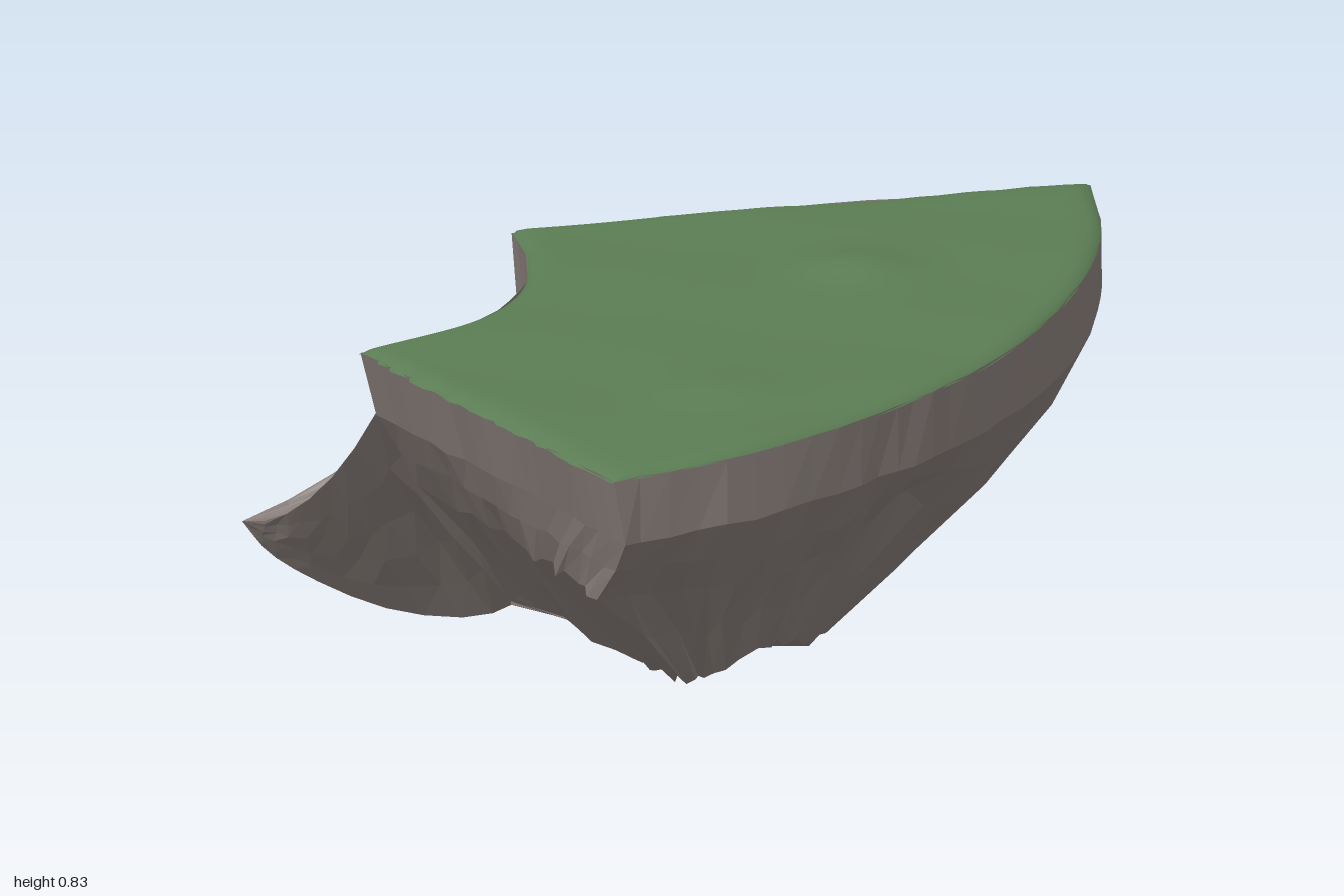
import * as THREE from 'three';
import { mergeVertices } from 'three/addons/utils/BufferGeometryUtils.js';

const V = (x, y, z) => new THREE.Vector3(x, y, z);

// Small repeatable noise in -1..1
const noise = (a, b) => {
  const s = Math.sin(a * 127.1 + b * 311.7) * 43758.5453;
  return (s - Math.floor(s)) * 2 - 1;
};

// Skin over rows of points; each quad becomes two triangles
function skin(rows) {
  const pos = [];
  for (let j = 0; j < rows.length - 1; j++) {
    for (let i = 0; i < rows[j].length - 1; i++) {
      const a = rows[j][i], b = rows[j][i + 1], c = rows[j + 1][i], d = rows[j + 1][i + 1];
      for (const [p, q, r] of [[a, c, b], [b, c, d]]) {
        if (p.distanceTo(q) < 1e-5 || q.distanceTo(r) < 1e-5 || p.distanceTo(r) < 1e-5) continue;
        for (const k of [p, q, r]) pos.push(k.x, k.y, k.z);
      }
    }
  }
  const g = new THREE.BufferGeometry();
  g.setAttribute('position', new THREE.Float32BufferAttribute(pos, 3));
  g.computeVertexNormals();
  return g;
}

// Stations around the slab: top x,z | shoulder x,y,z | belly x,y,z
const outer = [
  [-.92, .93, -.87, .47, .75, -.54, .16, .48],
  [-.6, .87, -.56, .45, .69, -.45, .17, .44],
  [-.25, .73, -.25, .41, .52, -.24, .17, .3],
  [0, .59, 0, .48, .37, -.1, .11, .13],
  [.28, .38, .23, .41, .19, .02, .06, -.04],
  [.63, -.01, .49, .38, -.09, .18, .13, -.13],
  [.86, -.38, .72, .45, -.4, .23, .15, -.25],
  [1, -.74, .9, .49, -.72, .31, .25, -.42],
];
const back = [
  outer[7],
  [.5, -.83, .45, .43, -.72, .14, .15, -.43],
  [.03, -.89, 0, .43, -.73, -.1, .11, -.42],
  [-.31, -.925, -.34, .45, -.74, -.4, .12, -.44],
];
const inner = [
  back[3],
  [-.36, -.74, -.4, .45, -.66, -.47, .11, -.44],
  [-.48, -.51, -.5, .45, -.53, -.53, .11, -.43],
  [-.69, -.32, -.69, .46, -.35, -.55, .12, -.4],
  [-1, -.215, -.85, .46, -.24, -.56, .14, -.36],
];
const left = [
  inner[4],
  [-.97, .2, -.84, .46, .22, -.53, .14, .1],
  [-.94, .58, -.86, .47, .5, -.54, .16, .33],
  outer[0],
];

const curve = (side, pick) => new THREE.CatmullRomCurve3(side.map(pick));
const topPick = (s) => V(s[0], .79, s[1]);
const shoulderPick = (s) => V(s[2], s[3], s[4]);
const bellyPick = (s) => V(s[5], s[6], s[7]);

// Closed loop running along all four sides
function loop(pick) {
  const pts = [];
  for (const [side, n] of [[outer, 30], [back, 18], [inner, 14], [left, 16]]) {
    const c = curve(side, pick);
    for (let i = 0; i < n; i++) pts.push(c.getPoint(i / n));
  }
  return pts;
}

// Roughen a row, then close it
function rough(row, level, side, up) {
  const out = row.map((p, i) => V(
    p.x + noise(i, level) * side,
    Math.max(.004, p.y + noise(i + 50, level) * up),
    p.z + noise(i + 100, level) * side));
  out.push(out[0]);
  return out;
}

function bodyGeometry() {
  const top = loop(topPick), shoulder = loop(shoulderPick), belly = loop(bellyPick);
  const heart = V(-.28, 0, -.24);
  const mix = (a, b, t) => a.map((p, i) => p.clone().lerp(b[i], t));
  // The cut sides lean inwards, the curved outer side stays upright
  const rim = top.map((p) => V(
    p.x + .04 * THREE.MathUtils.smoothstep(-p.x, .85, .95), .64,
    p.z + .04 * THREE.MathUtils.smoothstep(-p.z, .68, .8)));
  const centre = belly.map(() => heart);
  const bulge = mix(rim, shoulder, .5);
  bulge.forEach((p, i) => { p.lerp(V(rim[i].x, p.y, rim[i].z), .1); });
  // The underside flattens out towards its lowest point
  const flatten = (t, share) => {
    const row = mix(belly, centre, t);
    row.forEach((p, i) => { p.y = belly[i].y * share; });
    return row;
  };
  return skin([
    rough(top, 1, .003, .001),
    rough(rim, 2, .005, .004),
    rough(bulge, 3, .006, .008),
    rough(shoulder, 4, .01, .015),
    rough(mix(shoulder, belly, .5), 5, .014, .018),
    rough(belly, 6, .01, .012),
    rough(flatten(.45, .66), 7, .008, .01),
    rough(flatten(.75, .22), 8, .005, .006),
    [...centre, heart],
  ]);
}

// Grass: spans from the inner arc to the outer arc with two low mounds
function grassGeometry() {
  const near = curve([...inner].reverse(), topPick), far = curve(outer, topPick);
  const steps = (n) => {
    const s = [0, .008, .025];
    for (let i = 1; i < n; i++) s.push(.025 + .95 * i / n);
    return [...s, .975, .992, 1];
  };
  const mound = (p, x, z, h, r) => h * Math.exp(-((p.x - x) ** 2 + (p.z - z) ** 2) / (r * r));
  const rows = steps(36).map((v, j) => steps(44).map((u) => {
    const p = near.getPoint(u).lerp(far.getPoint(u), v);
    const edge = Math.min(u, 1 - u, v, 1 - v);
    p.y = .787 + .017 * Math.sqrt(Math.min(1, edge / .025))
      + mound(p, -.43, .43, .018, .14) + mound(p, .24, -.31, .028, .12)
      + .003 * Math.sin(p.x * 9) * Math.cos(p.z * 8);
    // Cut edges bow out a little and are ragged
    p.z -= .07 * v * (1 - v) * u ** 6;
    p.x -= .03 * v * (1 - v) * (1 - u) ** 6;
    if (u < .01) p.x += .008 * noise(j, 21);
    if (u > .99) p.z += .004 * noise(j, 22);
    return p;
  }));
  const g = skin(rows);
  g.deleteAttribute('normal');
  const smooth = mergeVertices(g, 1e-4);
  smooth.computeVertexNormals();
  return smooth;
}

// Corner spur: a sloping fan on top and two flanks meeting in a keel
function spurGeometries() {
  const tip = V(-.96, .21, -.93);
  const footBack = V(-.32, .65, -.885), footLeft = V(-.96, .65, -.22);
  const keel = new THREE.CatmullRomCurve3([
    tip, V(-.92, .15, -.89), V(-.85, .1, -.8), V(-.72, .05, -.66), V(-.58, .065, -.49), V(-.5, .13, -.4)]);
  // Line from the tip up to the slab, sagging in the middle
  const slope = (foot, t) => {
    const p = tip.clone().lerp(foot, t);
    p.y -= .3 * t * (1 - t);
    return p;
  };
  const arcCurve = curve([...inner].reverse(), topPick);
  const arc = [];
  for (let i = 0; i <= 28; i++) {
    const p = arcCurve.getPoint(i / 28);
    arc.push(V(Math.max(p.x, -.96), .65, Math.max(p.z, -.885)));
  }
  arc[0].copy(footLeft);
  arc[28].copy(footBack);
  const fan = [];
  for (let j = 0; j <= 6; j++) {
    fan.push(arc.map((p, i) => {
      const q = slope(p, j / 6);
      if (i > 0 && i < 28 && j > 0 && j < 6) q.y += .008 * noise(i, j + 30);
      return q;
    }));
  }
  const flank = (foot, seed) => {
    const rows = [];
    for (let j = 0; j <= 5; j++) {
      const row = [];
      for (let i = 0; i <= 12; i++) {
        const p = slope(foot, i / 12).lerp(keel.getPoint(i / 12), j / 5);
        if (j > 0 && j < 5 && i > 0) {
          const k = .014 * i / 12;
          p.add(V(noise(i, seed + j) * k, noise(i + 9, seed + j) * k, noise(i + 19, seed + j) * k));
        }
        row.push(p);
      }
      rows.push(row);
    }
    return rows;
  };
  return {
    spurTop: skin(fan),
    spurLeftFlank: skin(flank(footLeft, 40)),
    spurBackFlank: skin(flank(footBack, 60).map((r) => r.reverse())),
  };
}

export function createModel() {
  const rock = new THREE.MeshStandardMaterial({ color: 0x857b77, flatShading: true, side: THREE.DoubleSide });
  rock.name = 'rock';
  const grass = new THREE.MeshStandardMaterial({ color: 0x5b7d54, side: THREE.DoubleSide });
  grass.name = 'grass';

  const model = new THREE.Group();
  model.name = 'floatingIslandSegment';
  const add = (name, geometry, material, parent = model) => {
    const mesh = new THREE.Mesh(geometry, material);
    mesh.name = name;
    parent.add(mesh);
  };
  add('rockBody', bodyGeometry(), rock);
  add('grassTop', grassGeometry(), grass);

  const spur = new THREE.Group();
  spur.name = 'cornerSpur';
  for (const [name, g] of Object.entries(spurGeometries())) add(name, g, rock, spur);
  model.add(spur);
  return model;
}
